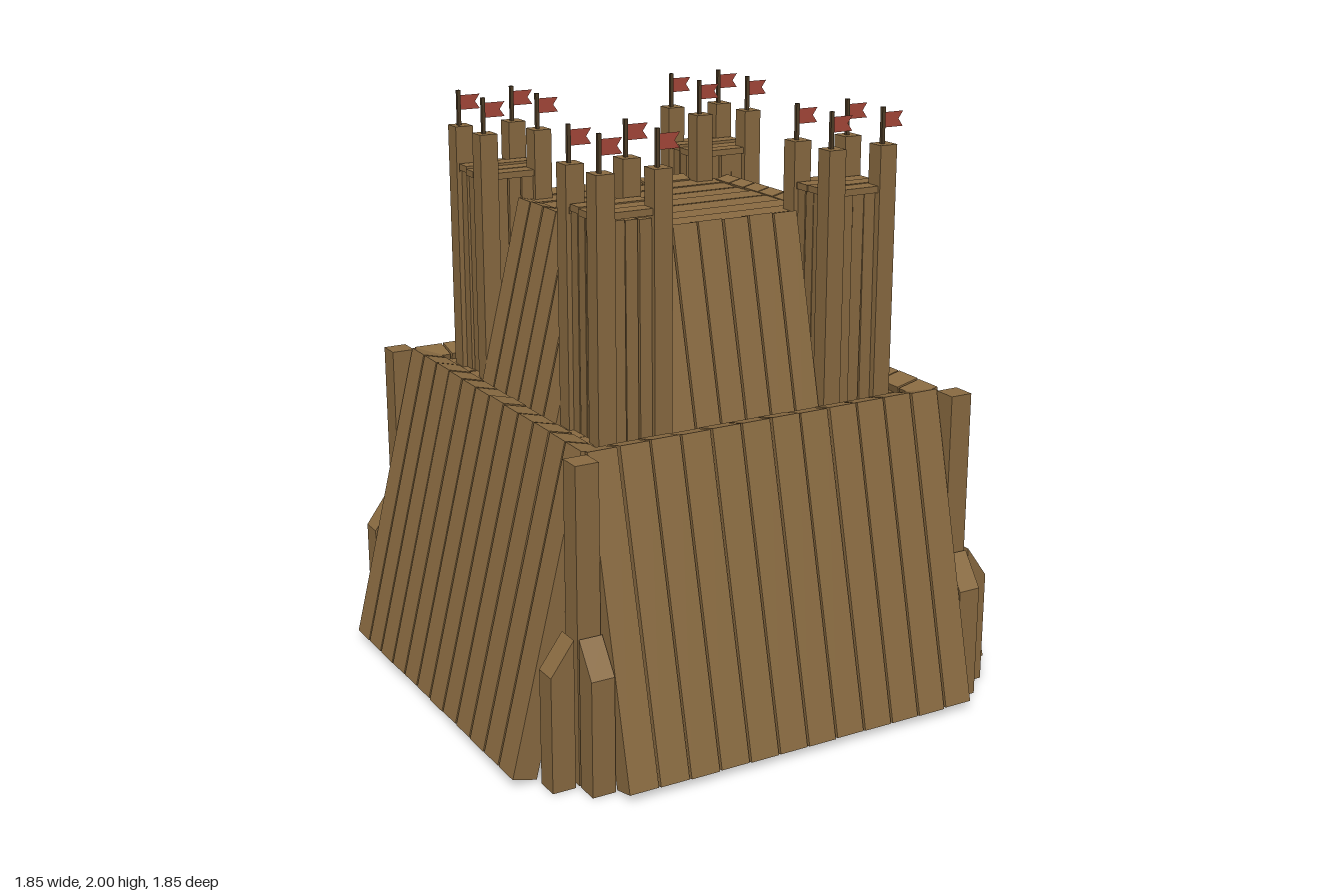
import * as THREE from 'three';

const wood = new THREE.MeshStandardMaterial({ color: 0x8b6c42, flatShading: true });
const poleMat = new THREE.MeshStandardMaterial({ color: 0x4f3d26, flatShading: true });
const flagMat = new THREE.MeshStandardMaterial({ color: 0xa8483a, side: THREE.DoubleSide });

// small seeded jitter in -1..1
let seed = 7;
const jitter = (amount) => {
  seed = (seed * 16807) % 2147483647;
  return (seed / 2147483647 * 2 - 1) * amount;
};

function add(parent, name, geometry, x, y, z, material = wood) {
  const mesh = new THREE.Mesh(geometry, material);
  mesh.name = name;
  mesh.position.set(x, y, z);
  parent.add(mesh);
  return mesh;
}

// box whose base sits at y = bottom
function upright(parent, name, w, d, bottom, top, x, z) {
  return add(parent, name, new THREE.BoxGeometry(w, top - bottom, d), x, (top + bottom) / 2, z);
}

// row of planks leaning inwards, outer bottom edge at (y, z)
function leaningWall(name, { count, pitch, width, length, thick, lean, y, z }) {
  const wall = new THREE.Group();
  wall.name = name;
  for (let i = 0; i < count; i++) {
    const g = new THREE.BoxGeometry(width, length + jitter(0.004), thick);
    g.translate(0, length / 2, -thick / 2);
    g.rotateX(-lean);
    const plank = add(wall, name + 'Plank', g, (i - (count - 1) / 2) * pitch, y, z);
    plank.rotation.z = jitter(0.002);
  }
  return wall;
}

// planks running along x, laid side by side in z
function deck(parent, name, length, count, pitch, thick, x, y, z, wobble) {
  for (let i = 0; i < count; i++) {
    const plank = add(parent, name, new THREE.BoxGeometry(length + jitter(0.008), thick, pitch * 0.94),
      x, y + jitter(wobble), z + (i - (count - 1) / 2) * pitch);
    plank.rotation.y = jitter(0.006);
  }
}

// short buttress post with a sloped top falling towards local +x
function buttress(parent, x, z, angle) {
  const w = 0.08;
  const profile = new THREE.Shape([[-w / 2, 0], [w / 2, 0], [w / 2, 0.39], [-w / 2, 0.5]]
    .map(([px, py]) => new THREE.Vector2(px, py)));
  const g = new THREE.ExtrudeGeometry(profile, { depth: w, bevelEnabled: false });
  g.translate(0, 0, -w / 2);
  add(parent, 'buttress', g, x, 0.005, z).rotation.y = angle;
}

// swallow-tailed flag on a thin pole
function flag(parent, x, z) {
  upright(parent, 'flagPole', 0.012, 0.012, 1.87, 2, x, z).material = poleMat;
  const shape = new THREE.Shape([[0, 0], [0.08, 0], [0.062, 0.025], [0.08, 0.05], [0, 0.05]]
    .map(([px, py]) => new THREE.Vector2(px, py)));
  add(parent, 'flag', new THREE.ShapeGeometry(shape), x, 1.932, z, flagMat);
}

// square corner tower: four posts, plank walls, small deck and flags
function tower(sx, sz) {
  const t = new THREE.Group();
  t.name = 'tower';
  const cx = sx * 0.42, cz = sz * 0.413, half = 0.1;
  for (const dx of [-half, half]) for (const dz of [-half, half]) {
    upright(t, 'towerPost', 0.064, 0.064, 0.79, 1.88, cx + dx, cz + dz);
    flag(t, cx + dx - 0.005, cz + dz);
  }
  for (const side of [-1, 1]) for (const k of [-1, 0, 1]) {
    const off = k * 0.046;
    upright(t, 'towerPlank', 0.042, 0.025, 0.8, 1.73 + jitter(0.006), cx + off, cz + side * (half + jitter(0.006)))
      .rotation.z = jitter(0.004);
    upright(t, 'towerPlank', 0.025, 0.042, 0.8, 1.73 + jitter(0.006), cx + side * (half + jitter(0.006)), cz + off)
      .rotation.x = jitter(0.004);
  }
  deck(t, 'towerDeckPlank', 0.25, 4, 0.062, 0.022, cx, 1.742, cz, 0.008);
  return t;
}

export function createModel() {
  const model = new THREE.Group();
  model.name = 'woodenFort';

  // lower and upper plank walls on all four sides
  for (let i = 0; i < 4; i++) {
    const lower = leaningWall('lowerWall', {
      count: 12, pitch: 0.11, width: 0.102, length: 1.07, thick: 0.085, lean: 0.24, y: 0.03, z: 0.925,
    });
    const upper = leaningWall('upperWall', {
      count: 6, pitch: 0.095, width: 0.088, length: 0.905, thick: 0.05, lean: 0.24, y: 0.78, z: i % 2 ? 0.63 : 0.585,
    });
    for (const wall of [lower, upper]) {
      wall.rotation.y = i * Math.PI / 2;
      model.add(wall);
    }
  }

  // lower terrace and roof decks
  deck(model, 'terracePlank', 1.19, 13, 0.0937, 0.04, 0, 1.005, 0, 0.003);
  deck(model, 'roofPlank', 0.75, 7, 0.0937, 0.035, 0, 1.625, 0, 0.006);

  // corner posts, buttresses and towers
  for (const sx of [-1, 1]) for (const sz of [-1, 1]) {
    upright(model, 'cornerPost', 0.08, 0.08, 0.005, 1.06, sx * 0.7, sz * 0.71);
    buttress(model, sx * 0.795, sz * 0.715, sx > 0 ? 0 : Math.PI);
    buttress(model, sx * 0.7, sz * 0.8, -sz * Math.PI / 2);
    model.add(tower(sx, sz));
  }
  return model;
}
